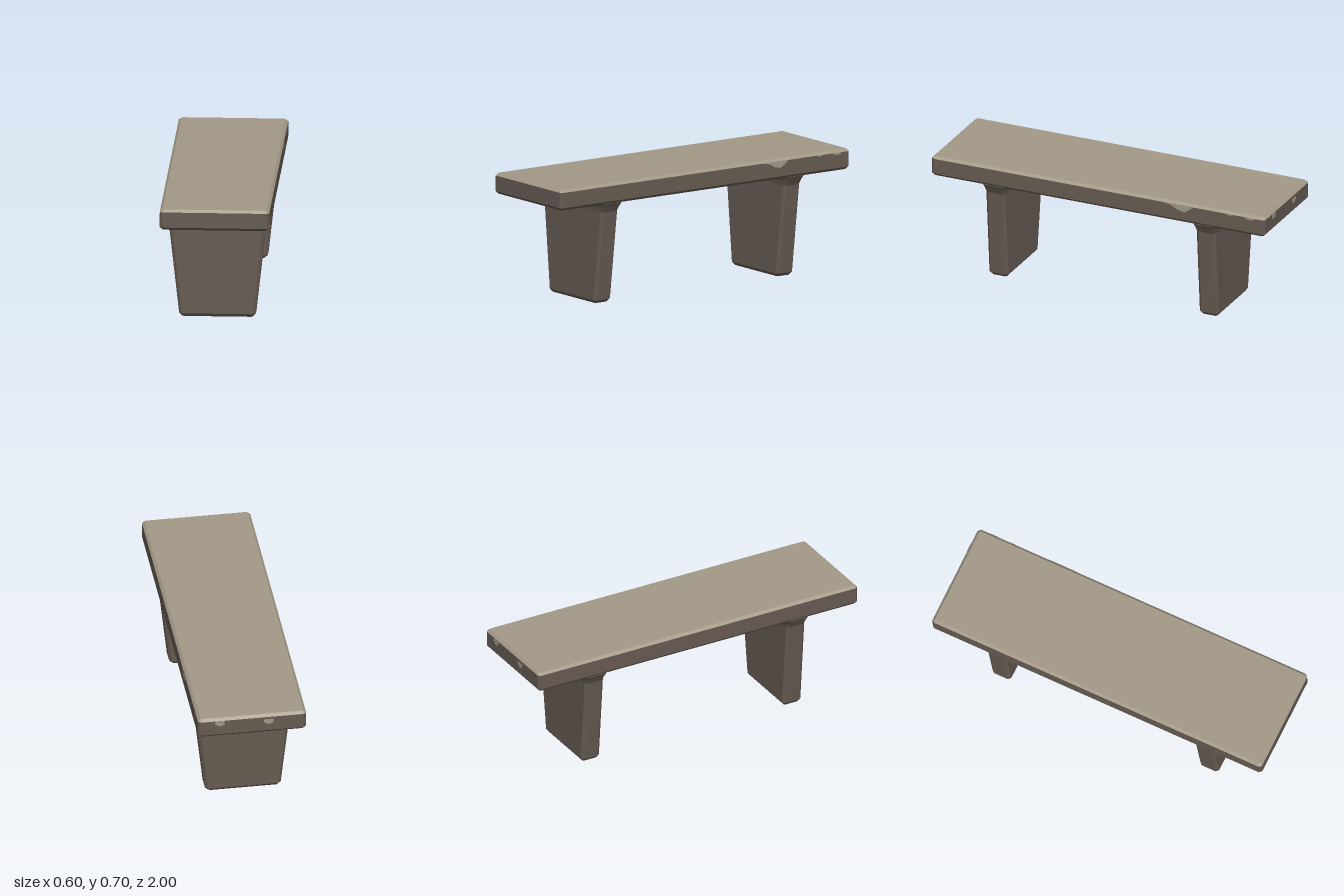
import * as THREE from 'three';

// Loft of chamfered rectangles; each section is [y, halfX, halfZ, chamfer]
function loft(sections, capBottom, capTop) {
  const rings = sections.map(([y, w, d, c]) => [
    [w, d - c], [w, c - d], [w - c, -d], [c - w, -d],
    [-w, c - d], [-w, d - c], [c - w, d], [w - c, d],
  ].map(([x, z]) => [x, y, z]));
  const pos = [];
  const tri = (a, b, c) => pos.push(...a, ...b, ...c);
  for (let r = 0; r < rings.length - 1; r++) {
    for (let i = 0; i < 8; i++) {
      const j = (i + 1) % 8, lo = rings[r], hi = rings[r + 1];
      tri(lo[i], lo[j], hi[j]);
      tri(lo[i], hi[j], hi[i]);
    }
  }
  const first = rings[0], last = rings[rings.length - 1];
  for (let i = 1; i < 7; i++) {
    if (capBottom) tri(first[0], first[i + 1], first[i]);
    if (capTop) tri(last[0], last[i], last[i + 1]);
  }
  const g = new THREE.BufferGeometry();
  g.setAttribute('position', new THREE.Float32BufferAttribute(pos, 3));
  g.computeVertexNormals();
  return g;
}

export function createModel() {
  const dark = new THREE.MeshStandardMaterial({ color: 0x665b52 });
  dark.name = 'darkStone';
  const light = new THREE.MeshStandardMaterial({ color: 0xa29886 });
  light.name = 'wornStone';
  const worn = light.clone();
  worn.name = 'wornStoneChip';
  worn.side = THREE.DoubleSide;

  const model = new THREE.Group();
  model.name = 'bench';
  const body = new THREE.Group();
  body.name = 'tiltedBody';
  model.add(body);
  const add = (name, geometry, material) => {
    const mesh = new THREE.Mesh(geometry, material);
    mesh.name = name;
    body.add(mesh);
    return mesh;
  };

  // Slab: dark sides and underside, pale top with its bevel
  add('seatSides', loft([
    [0.577, 0.285, 0.985, 0.008], [0.592, 0.3, 0.999, 0.014], [0.678, 0.3, 0.999, 0.014],
  ], true, false), dark);
  add('seatTop', loft([
    [0.678, 0.3, 0.999, 0.014], [0.692, 0.286, 0.985, 0.008],
  ], false, true), light);

  // Tapered legs, flaring where they meet the slab
  const legGeometry = loft([
    [0.008, 0.193, 0.043, 0.008],
    [0.026, 0.21, 0.057, 0.015],
    [0.526, 0.266, 0.057, 0.015],
    [0.554, 0.281, 0.062, 0.016],
    [0.58, 0.296, 0.072, 0.018],
  ], true, true);
  for (const [name, z] of [['frontLeg', 0.63], ['backLeg', -0.63]]) {
    add(name, legGeometry, dark).position.z = z;
  }

  // Small worn chips along the upper edges
  const chip = (name, points, x, z, turn) => {
    const shape = new THREE.Shape(points.map(([u, v]) => new THREE.Vector2(u, v)));
    const mesh = add(name, new THREE.ShapeGeometry(shape), worn);
    mesh.position.set(x, 0.678, z);
    mesh.rotation.y = turn;
  };
  const side = Math.PI / 2;
  chip('sideChip', [[-0.11, 0], [-0.06, -0.009], [-0.02, -0.03], [0.02, -0.038], [0.05, -0.018], [0.07, 0]], 0.302, -0.5, side);
  chip('sideNick', [[-0.02, 0], [0, -0.009], [0.02, 0]], 0.302, -0.79, side);
  chip('sideNick', [[-0.03, 0], [-0.02, -0.01], [0.02, -0.01], [0.03, 0]], 0.302, -0.91, side);
  const endChip = [[-0.027, 0], [-0.025, -0.02], [0, -0.034], [0.025, -0.025], [0.027, 0]];
  chip('endChip', endChip, 0.18, -1.001, Math.PI);
  chip('endChip', endChip.map(([u, v]) => [u, v - 0.012]), -0.09, -1.001, Math.PI);

  // Slight lean, as if settled into the ground
  body.rotation.x = -0.0125;
  body.position.z = 0.008;
  return model;
}
